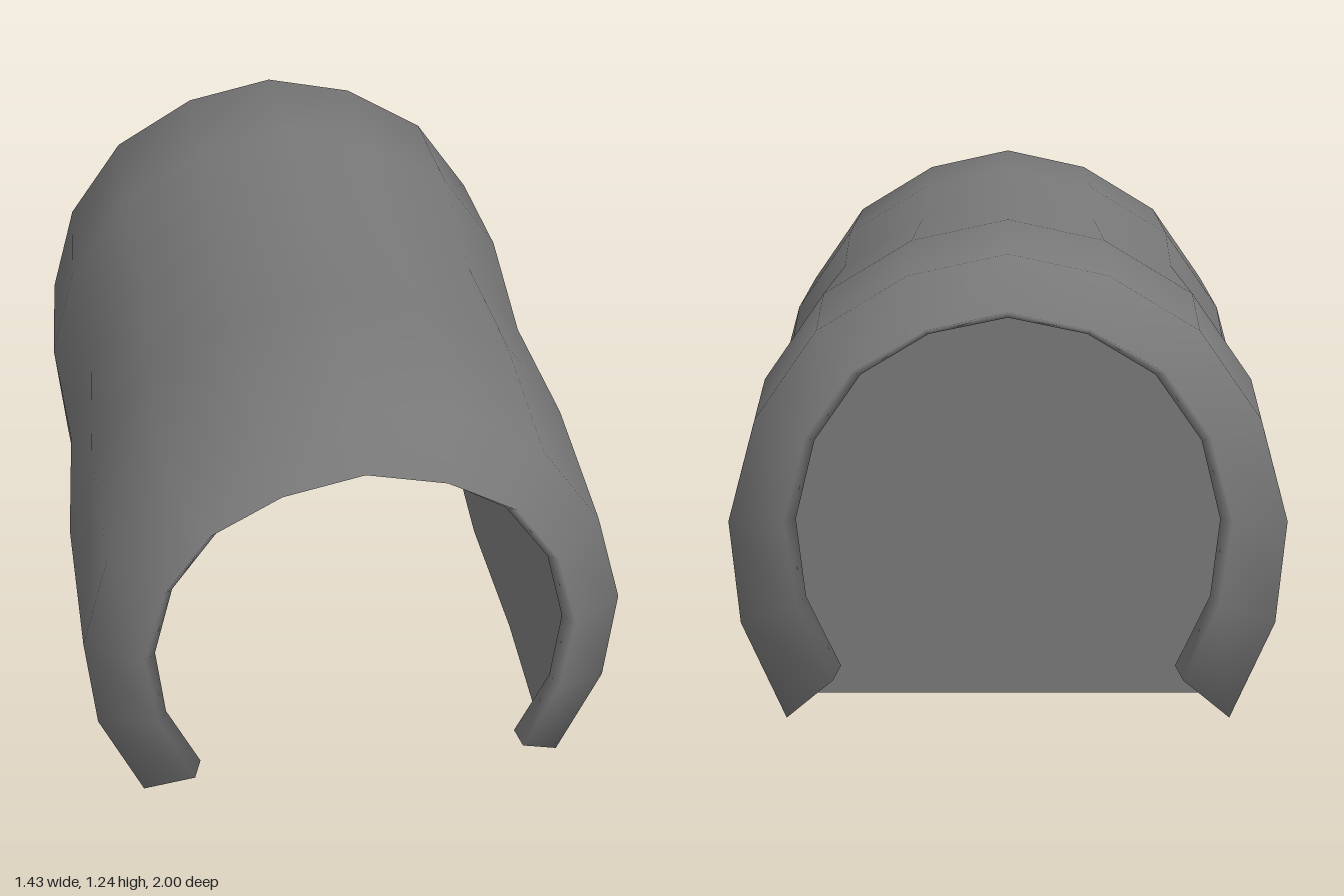
import * as THREE from 'three';

// Half profiles from the crown of the arch down to the left foot
const outer = [[0, 1.235], [0.25, 1.18], [0.48, 1.04], [0.64, 0.81], [0.715, 0.54], [0.692, 0.265], [0.58, 0]];
const inner = [[0, 1.19], [0.235, 1.138], [0.45, 1.006], [0.597, 0.79], [0.669, 0.54], [0.648, 0.275], [0.54, 0.052]];
const rim = [[0, 1.1], [0.2, 1.055], [0.375, 0.955], [0.49, 0.79], [0.548, 0.575], [0.52, 0.365], [0.435, 0.165]];
const lip = [[0, 1.08], [0.19, 1.04], [0.355, 0.94], [0.47, 0.775], [0.52, 0.575], [0.5, 0.375], [0.417, 0.19]];

// Full arch from left foot over the crown to right foot
const mirror = (half) => [...half.slice(1).reverse(), ...half.map(([x, y]) => [-x, y])];
const scaled = (half, s) => half.map(([x, y]) => [x * s, 0.56 + (y - 0.56) * s]);

// Thick shell: each section is a closed ring of outer arch and inner arch, back to front
function thickShell(sections) {
  const pos = [], index = [];
  const arch = outer.length * 2 - 1, n = arch * 2;
  const quad = (a, b, c, d) => index.push(a, b, c, a, c, d);
  sections.forEach((s, j) => {
    mirror(s.out).forEach(([x, y]) => pos.push(x, y, s.zOut));
    mirror(s.in).reverse().forEach(([x, y]) => pos.push(x, y, s.zIn));
    if (j === 0) return;
    const back = (j - 1) * n, front = j * n;
    for (let i = 0; i < n; i++) {
      const k = (i + 1) % n;
      quad(back + i, back + k, front + k, front + i);
    }
  });
  // Rim faces joining outer and inner arch at both ends
  const last = (sections.length - 1) * n;
  for (let i = 0; i < arch - 1; i++) {
    quad(last + i, last + i + 1, last + n - 2 - i, last + n - 1 - i);
    quad(n - 1 - i, n - 2 - i, i + 1, i);
  }
  const geo = new THREE.BufferGeometry();
  geo.setAttribute('position', new THREE.Float32BufferAttribute(pos, 3));
  geo.setIndex(index);
  geo.computeVertexNormals();
  return geo;
}

export function createModel() {
  const group = new THREE.Group();
  const material = new THREE.MeshStandardMaterial({ color: 0x797979, side: THREE.DoubleSide });
  const add = (name, geometry) => {
    const mesh = new THREE.Mesh(geometry, material);
    mesh.name = name;
    group.add(mesh);
  };

  // Waisted arched shell with rims turned in at both ends: outer z, inner z, scale
  const body = [[-0.88, -0.835, 0.975], [-0.5, -0.5, 1], [-0.03, -0.03, 0.957], [0.4, 0.4, 0.99], [0.87, 0.83, 0.973]]
    .map(([zOut, zIn, s]) => ({ out: scaled(outer, s), in: scaled(inner, s), zOut, zIn }));
  add('archedShell', thickShell([
    { out: rim, in: lip, zOut: -1, zIn: -0.965 },
    ...body,
    { out: rim, in: lip, zOut: 1, zIn: 0.965 },
  ]));

  // Flat wall closing the back end, set inside the rim
  const outline = mirror(body[0].in).map(([x, y]) => new THREE.Vector2(x, y));
  const wall = new THREE.ShapeGeometry(new THREE.Shape(outline));
  wall.translate(0, 0, body[0].zIn);
  add('backWall', wall);

  return group;
}
